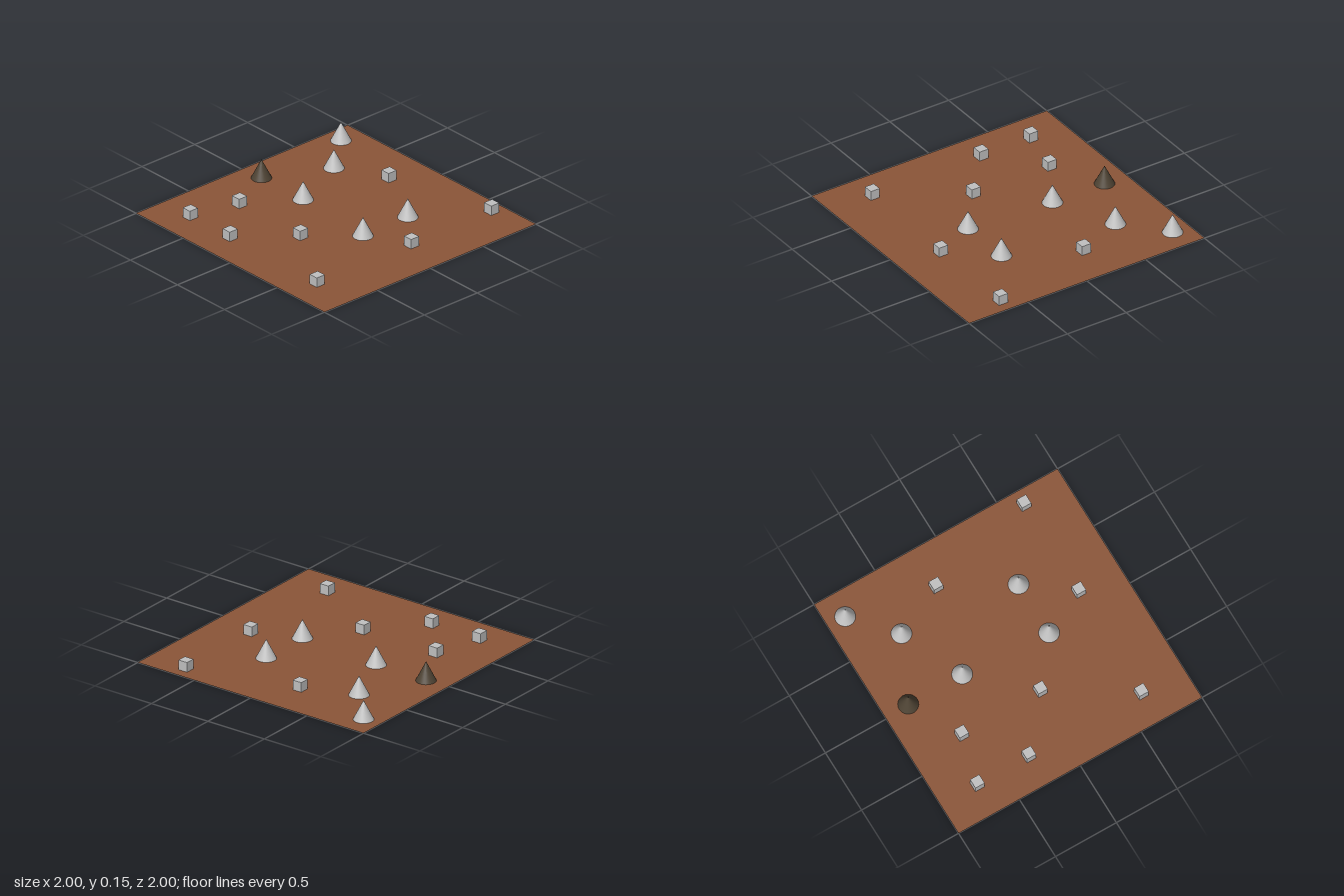
import * as THREE from 'three';

const mat = (name, color) => {
  const m = new THREE.MeshStandardMaterial({ color });
  m.name = name;
  return m;
};

export function createModel() {
  const group = new THREE.Group();
  const clay = mat('clay brown', 0x8b5538);
  clay.side = THREE.DoubleSide;
  const grey = mat('light grey', 0xc0c0c0);
  const dark = mat('dark umber', 0x4d4233);

  const add = (name, geometry, material, x, y, z) => {
    const mesh = new THREE.Mesh(geometry, material);
    mesh.name = name;
    mesh.position.set(x, y, z);
    group.add(mesh);
    return mesh;
  };

  // Flat ground sheet, a hair above the bases of the pieces
  add('ground', new THREE.PlaneGeometry(2, 2).rotateX(-Math.PI / 2), clay, 0, 0.001, 0);

  // Cones, one of them dark
  const cone = new THREE.ConeGeometry(0.075, 0.15, 32);
  const cones = [
    [-0.857, -0.81], [-0.58, -0.497], [0.32, -0.394],
    [0.32, 0.03], [-0.367, -0.016],
  ];
  cones.forEach(([x, z], i) => add(`cone${i + 1}`, cone, grey, x, 0.075, z));
  add('darkCone', cone, dark, -0.81, 0.075, -0.016);

  // Small cubes
  const cube = new THREE.BoxGeometry(0.075, 0.075, 0.075);
  const cubes = [
    [0.658, -0.887], [-0.192, -0.673], [0.658, -0.128], [-0.603, 0.375],
    [0.044, 0.375], [-0.7, 0.755], [-0.277, 0.755], [0.648, 0.755],
  ];
  cubes.forEach(([x, z], i) => add(`cube${i + 1}`, cube, grey, x, 0.0385, z));

  return group;
}
